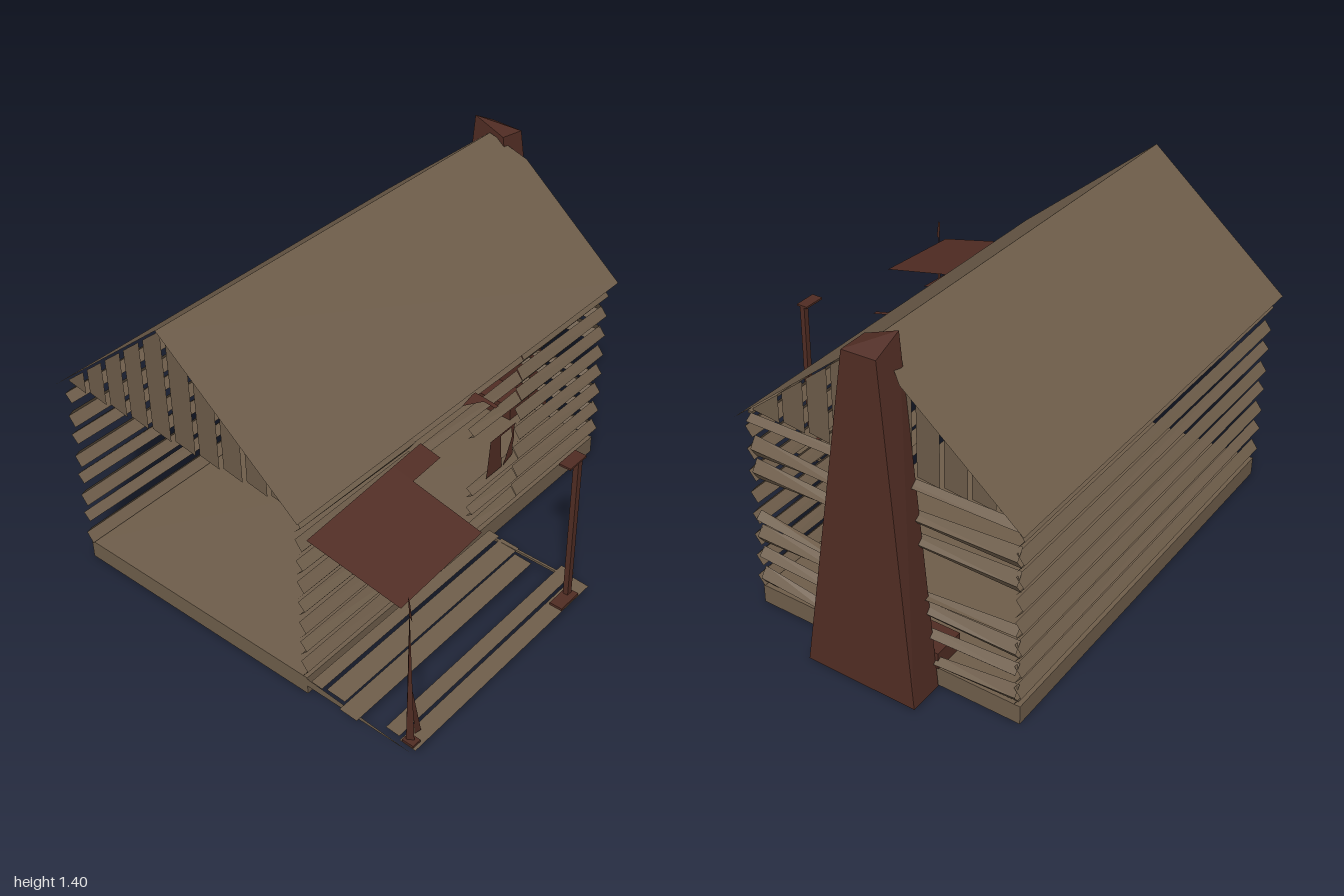
import * as THREE from 'three';

const wood = new THREE.MeshStandardMaterial({ color: 0x6e5d4a, flatShading: true, side: THREE.DoubleSide });
wood.name = 'weathered wood';
const brick = new THREE.MeshStandardMaterial({ color: 0x502c23, flatShading: true, side: THREE.DoubleSide });
brick.name = 'red brown';

// Flat-shaded sheet made of convex polygons, each a list of [x, y, z]
function sheet(name, material, ...polys) {
  const pos = [];
  for (const p of polys) {
    for (let i = 1; i < p.length - 1; i++) pos.push(...p[0], ...p[i], ...p[i + 1]);
  }
  const g = new THREE.BufferGeometry();
  g.setAttribute('position', new THREE.Float32BufferAttribute(pos, 3));
  g.computeVertexNormals();
  const m = new THREE.Mesh(g, material);
  m.name = name;
  return m;
}

function box(name, material, x0, x1, y0, y1, z0, z1) {
  const m = new THREE.Mesh(new THREE.BoxGeometry(x1 - x0, y1 - y0, z1 - z0), material);
  m.position.set((x0 + x1) / 2, (y0 + y1) / 2, (z0 + z1) / 2);
  m.name = name;
  return m;
}

// Open V-shaped log between two ends [x, z, low, high]; (ox, oz) pushes the crease outward
function log(name, a, b, ox, oz) {
  const ends = [a, b].map(([x, z, lo, hi]) => [
    [x, lo, z], [x + ox, (lo + hi) / 2, z + oz], [x, hi, z],
  ]);
  const [p, q] = ends;
  return sheet(name, wood, [p[0], q[0], q[1], p[1]], [p[1], q[1], q[2], p[2]]);
}

function createFoundation() {
  const x0 = -0.81, x1 = 0.34, z0 = -0.85, z1 = 0.96, h = 0.08;
  const ring = [[x0, z1], [x1, z1], [x1, z0], [x0, z0]];
  const walls = ring.map(([x, z], i) => {
    const [u, v] = ring[(i + 1) % 4];
    return [[x, 0, z], [u, 0, v], [u, h, v], [x, h, z]];
  });
  return sheet('foundation', wood, ring.map(([x, z]) => [x, h, z]), ...walls);
}

function createWalls() {
  const walls = new THREE.Group();
  walls.name = 'logWalls';
  for (let i = 0; i < 8; i++) {
    const lo = 0.09 + i * 0.096, hi = lo + 0.075, t = i % 2 ? 0.012 : -0.004;
    // Left wall runs the full length
    walls.add(log('leftLog', [-0.79, -0.86, lo, hi], [-0.79, 0.97, lo + t, hi], -0.03, 0));
    // Right wall is broken by a doorway and a window
    walls.add(log('rightFrontLog', [0.325, 0.37, lo - 0.004, hi + 0.008], [0.325, 0.97, lo + t, hi], 0.03, 0));
    walls.add(log('rightBackLog', [0.325, -0.86, lo, hi], [0.325, -0.28, lo - 0.004, hi + 0.008], 0.03, 0));
    if (i < 3 || i > 4) {
      walls.add(log('rightMiddleLog', [0.325, -0.28, lo, hi], [0.325, i > 5 ? 0.37 : 0.02, lo + 0.02, hi - 0.01], 0.03, 0));
    }
  }
  // Back wall: [row low, row high, inner low, inner high, left reach, right reach]
  const rows = [
    [0.09, 0.17, 0.09, 0.125, -0.46, 0],
    [0.2, 0.265, 0.2, 0.24, -0.4, -0.04],
    [0.285, 0.365, 0.3, 0.35, -0.24, -0.07],
    [0.375, 0.43, 0.37, 0.38, -0.24, -0.07],
    [0.57, 0.66, 0.59, 0.63, -0.2, -0.11],
    [0.67, 0.76, 0.69, 0.72, -0.2, -0.11],
  ];
  for (const [lo, hi, a, b, xl, xr] of rows) {
    walls.add(log('backLeftLog', [-0.8, -0.84, lo, hi], [xl, -0.84, a, b], 0, -0.03));
    walls.add(log('backRightLog', [xr, -0.84, a, b], [0.33, -0.84, lo, hi], 0, -0.03));
  }
  walls.add(log('backTopLog', [-0.81, -0.84, 0.815, 0.86], [0.34, -0.84, 0.81, 0.85], 0, -0.03));
  return walls;
}

const RIDGE = -0.235, PEAK = 1.355, EAVE = 0.85, HALF = 0.605;
const roofY = (x) => PEAK - Math.abs(x - RIDGE) * (PEAK - EAVE) / HALF;

function createRoof() {
  const roof = new THREE.Group();
  roof.name = 'roof';
  for (const s of [-1, 1]) {
    const xe = RIDGE + s * HALF, xn = RIDGE + s * 0.13;
    // Slope with a corner cut away around the chimney
    roof.add(sheet(s < 0 ? 'leftSlope' : 'rightSlope', wood, [
      [RIDGE, PEAK, 1], [xe, EAVE, 1], [xe, EAVE, -0.9], [xn, roofY(xn), -0.9], [RIDGE, PEAK, -0.82],
    ]));
  }
  // Vertical gable boards with narrow gaps
  const cuts = [-0.815, -0.7, -0.59, -0.48, -0.37, -0.255, -0.135, -0.02, 0.09, 0.205, 0.345];
  for (const z of [0.95, -0.84]) {
    for (let i = 0; i < cuts.length - 1; i++) {
      const a = cuts[i] + 0.004, b = cuts[i + 1] - 0.004, y = 0.855;
      const top = (x) => Math.max(y, roofY(x) - 0.012);
      const poly = [[a, y, z], [b, y, z + 0.012], [b, top(b), z + 0.012]];
      if (a < RIDGE && b > RIDGE) poly.push([RIDGE, top(RIDGE), z + 0.006]);
      poly.push([a, top(a), z]);
      roof.add(sheet('gableBoard', wood, poly));
    }
  }
  roof.add(box('eaveBeam', wood, 0.335, 0.355, 0.845, 0.855, -0.84, 0.94));
  return roof;
}

function createChimney() {
  const chimney = new THREE.Group();
  chimney.name = 'chimney';
  const base = [[-0.47, 0, -0.855], [0, 0, -0.855], [0, 0, -1], [-0.47, 0, -1]];
  const top = [[-0.32, 1.4, -0.835], [-0.18, 1.345, -0.835], [-0.17, 1.335, -0.945], [-0.31, 1.34, -0.945]];
  const sides = base.map((p, i) => [p, base[(i + 1) % 4], top[(i + 1) % 4], top[i]]);
  chimney.add(sheet('stack', brick, ...sides, top, base));
  chimney.add(box('hearth', brick, -0.47, 0, 0.08, 0.15, -0.855, -0.72));
  return chimney;
}

function createPorch() {
  const porch = new THREE.Group();
  porch.name = 'porch';
  // Floor planks: [x0, x1, z0, z1, y]
  const planks = [
    [0.37, 0.42, -0.08, 0.97, 0.09], [0.425, 0.51, -0.09, 0.95, 0.07], [0.52, 0.6, -0.05, 0.99, 0.07],
    [0.7, 0.76, -0.11, 0.95, 0.073], [0.77, 0.84, -0.09, 0.96, 0.065],
  ];
  for (const [a, b, z0, z1, y] of planks) {
    porch.add(sheet('floorPlank', wood, [[a, y, z1], [b, y - 0.004, z1], [b, y - 0.004, z0], [a, y, z0]]));
  }
  porch.add(sheet('frontBeam', wood, [[0.34, 0.075, 0.96], [0.34, 0.038, 0.96], [0.82, 0.035, 0.96]]));
  porch.add(box('backBeam', wood, 0.36, 0.77, 0.06, 0.07, -0.08, -0.07));

  // Tilted awning over the front half
  const at = (x, z) => [x, 0.8 - 0.22 * (x - 0.37) - 0.075 * (z - 0.36), z];
  porch.add(sheet('awning', brick,
    [at(0.37, 0.36), at(0.46, 0.36), at(0.46, 0.51), at(0.37, 0.51)],
    [at(0.37, 0.51), at(0.76, 0.51), at(0.76, 0.94), at(0.37, 0.96)]));

  // Back post with cap and foot
  porch.add(box('backPost', brick, 0.793, 0.815, 0.07, 0.745, -0.01, 0.015));
  porch.add(box('postCap', brick, 0.78, 0.83, 0.742, 0.75, -0.01, 0.09));
  porch.add(box('postFoot', brick, 0.785, 0.84, 0.066, 0.076, -0.02, 0.09));
  // Slim broken front post
  porch.add(sheet('frontPost', brick,
    [[0.79, 0.07, 0.95], [0.815, 0.07, 0.935], [0.81, 0.66, 0.955], [0.795, 0.66, 0.94]],
    [[0.8, 0.07, 0.88], [0.8, 0.08, 0.915], [0.8, 0.34, 0.935]],
    [[0.795, 0.66, 0.94], [0.82, 0.66, 0.955], [0.81, 0.74, 0.955], [0.79, 0.74, 0.94]]));
  porch.add(box('frontPostFoot', brick, 0.78, 0.83, 0.066, 0.076, 0.92, 0.96));
  // Bracket under the eave
  porch.add(sheet('bracket', brick,
    [[0.36, 0.83, 0.03], [0.46, 0.81, 0.02], [0.46, 0.81, 0.04], [0.36, 0.83, 0.05]],
    [[0.36, 0.83, 0.05], [0.41, 0.82, 0.045], [0.37, 0.825, 0.12]]));
  return porch;
}

function createWindow() {
  const x = 0.345;
  return sheet('windowFrame', brick,
    [[x, 0.34, -0.08], [x, 0.34, -0.18], [x, 0.51, -0.165], [x, 0.51, -0.1]],
    [[x, 0.34, -0.19], [x, 0.36, -0.25], [x, 0.47, -0.25]],
    [[x, 0.5, -0.16], [x, 0.5, -0.26], [x, 0.51, -0.26], [x, 0.51, -0.16]],
    [[x, 0.42, -0.245], [x, 0.42, -0.255], [x, 0.51, -0.255], [x, 0.51, -0.235]]);
}

export function createModel() {
  const cabin = new THREE.Group();
  cabin.name = 'logCabin';
  cabin.add(createFoundation(), createWalls(), createRoof(), createChimney(), createPorch(), createWindow());
  return cabin;
}
